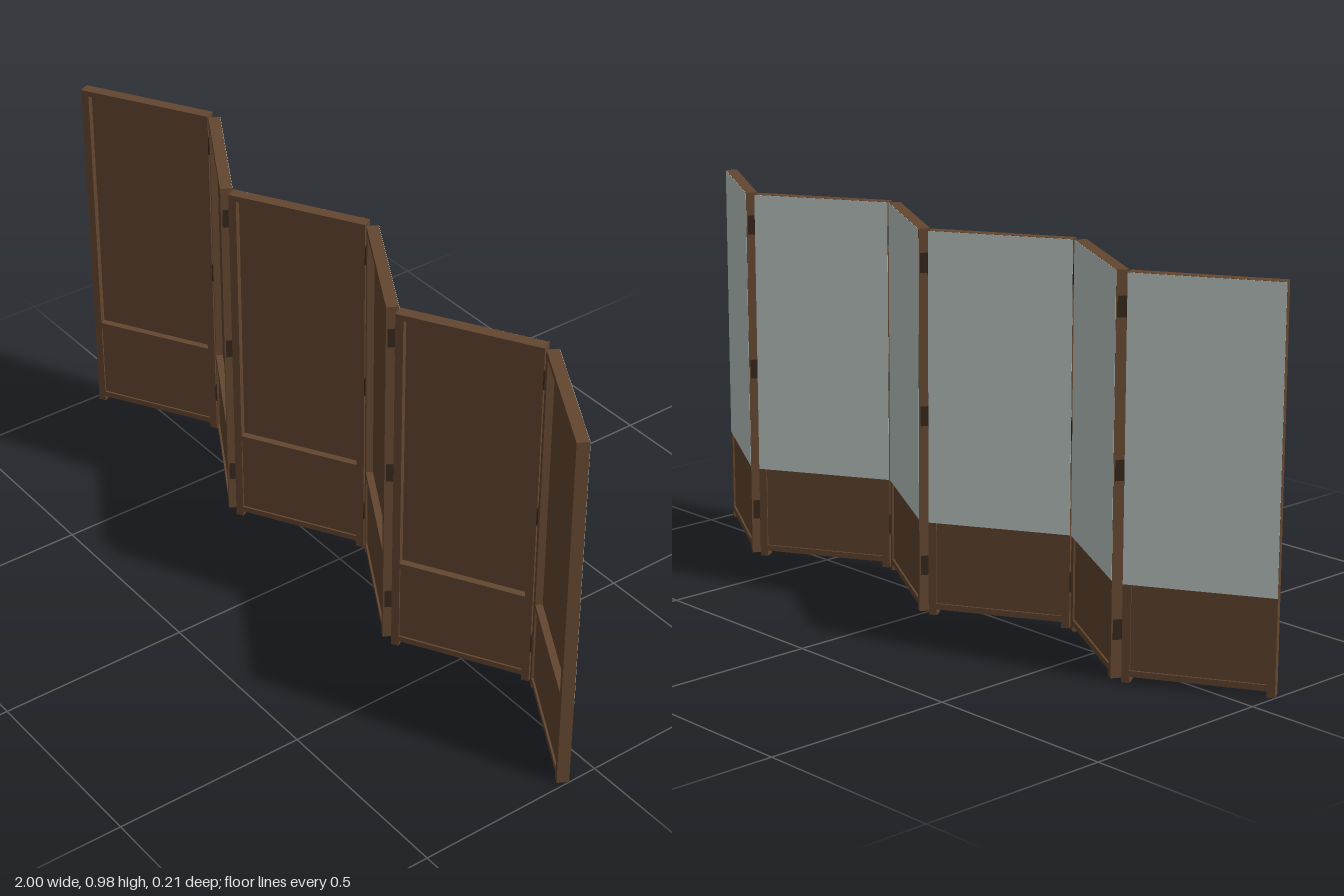
import * as THREE from 'three';

const wood = new THREE.MeshStandardMaterial({ name: 'brown wood', color: 0x63462f });
const backing = new THREE.MeshStandardMaterial({ name: 'pale grey green backing', color: 0xbcc8c4 });
const bronze = new THREE.MeshStandardMaterial({ name: 'dark bronze', color: 0x35261b });

const W = 0.363, T = 0.03, TOP = 0.975, FOOT = 0.015; // leaf width, thickness, top, foot height
const STILE = 0.02, RAIL = 0.015, ANGLE = Math.PI / 6, PITCH = 0.334;

// Box given by its limits on each axis
function slab(name, material, x0, x1, y0, y1, z0, z1) {
  const mesh = new THREE.Mesh(new THREE.BoxGeometry(x1 - x0, y1 - y0, z1 - z0), material);
  mesh.position.set((x0 + x1) / 2, (y0 + y1) / 2, (z0 + z1) / 2);
  mesh.name = name;
  return mesh;
}

function makeLeaf(index) {
  const leaf = new THREE.Group();
  leaf.name = 'screenLeaf' + (index + 1);
  const h = W / 2, t = T / 2, inner = h - STILE;

  // Stiles and feet on both sides
  for (const s of [-1, 1]) {
    const a = Math.min(s * h, s * inner), b = Math.max(s * h, s * inner);
    leaf.add(slab('stile', wood, a, b, FOOT, TOP, -t, t));
    leaf.add(slab('foot', wood, a, b, 0, FOOT, -t, t));
  }

  // Bottom, middle and top rails
  for (const [name, y0, y1] of [
    ['bottomRail', FOOT, FOOT + RAIL],
    ['middleRail', 0.242, 0.258],
    ['topRail', TOP - RAIL, TOP],
  ]) leaf.add(slab(name, wood, -inner, inner, y0, y1, -t, t));

  // Shallow lower panel, deeply recessed upper panel, and flat backing sheet
  leaf.add(slab('lowerPanel', wood, -inner, inner, FOOT + RAIL, 0.242, -0.01, 0.01));
  leaf.add(slab('upperPanel', wood, -inner, inner, 0.258, TOP - RAIL, -0.012, -0.003));
  leaf.add(slab('backingSheet', backing, -h + 0.0003, h - 0.0003, 0.24, TOP - 0.0005, -0.0158, -0.0122));

  // Hinge plates on the edges that meet a neighbour
  for (const s of [-1, 1]) {
    if ((index === 0 && s < 0) || (index === 5 && s > 0)) continue;
    for (const y of [0.12, 0.505, 0.89]) {
      const x = s * (h + 0.001);
      leaf.add(slab('hingePlate', bronze, x - 0.001, x + 0.001, y - 0.025, y + 0.025, -0.011, 0.011));
    }
  }

  leaf.position.x = (index - 2.5) * PITCH;
  leaf.rotation.y = index % 2 ? -ANGLE : ANGLE;
  return leaf;
}

export function createModel() {
  const model = new THREE.Group();
  model.name = 'foldingScreen';
  for (let i = 0; i < 6; i++) model.add(makeLeaf(i));

  // Hinge pins in the narrow part of each fold
  const pin = new THREE.CylinderGeometry(0.003, 0.003, 0.05, 10);
  for (let j = 0; j < 5; j++) {
    for (const y of [0.12, 0.505, 0.89]) {
      const mesh = new THREE.Mesh(pin, bronze);
      mesh.name = 'hingePin';
      mesh.position.set((j - 2) * PITCH, y, j % 2 ? 0.079 : -0.079);
      model.add(mesh);
    }
  }
  return model;
}
